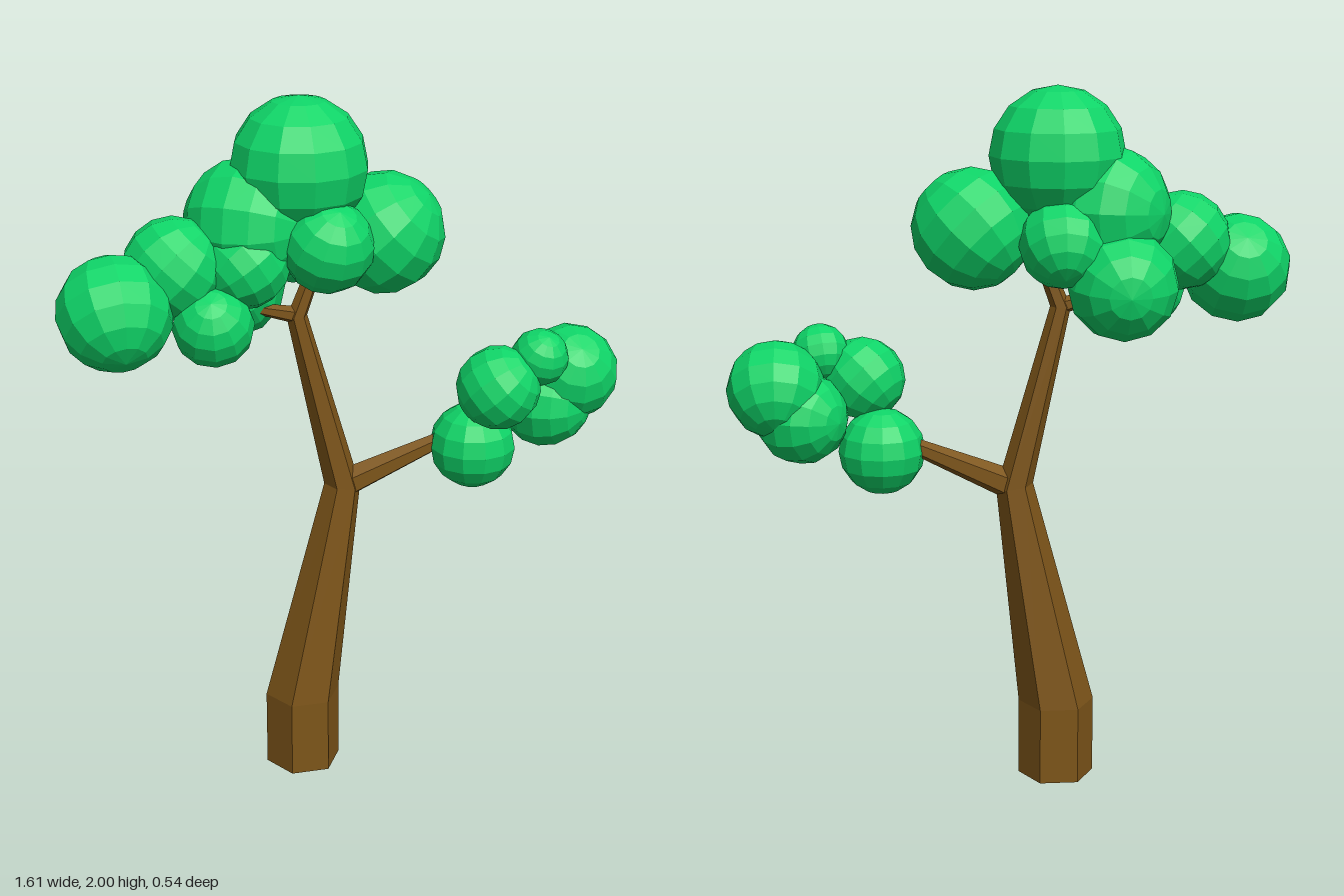
import * as THREE from 'three';

const bark = new THREE.MeshStandardMaterial({ color: 0x7d5519, flatShading: true });
const leaf = new THREE.MeshStandardMaterial({ color: 0x0fd568, flatShading: true });

// Six-sided limb through rings of [x, y, z, radius, lean in degrees]
function limb(name, rings) {
  const N = 6, pos = [], idx = [];
  for (const [x, y, z, r, lean] of rings) {
    const t = THREE.MathUtils.degToRad(lean);
    for (let j = 0; j < N; j++) {
      const a = (j / N) * Math.PI * 2, u = r * Math.cos(a);
      pos.push(x + u * Math.cos(t), y + u * Math.sin(t), z + r * Math.sin(a));
    }
  }
  for (let i = 0; i < rings.length - 1; i++) {
    for (let j = 0; j < N; j++) {
      const a = i * N + j, b = i * N + (j + 1) % N;
      idx.push(a, a + N, b, b, a + N, b + N);
    }
  }
  // end caps
  const top = (rings.length - 1) * N;
  for (let j = 1; j < N - 1; j++) {
    idx.push(0, j, j + 1, top, top + j + 1, top + j);
  }
  const g = new THREE.BufferGeometry();
  g.setAttribute('position', new THREE.Float32BufferAttribute(pos, 3));
  g.setIndex(idx);
  const flat = g.toNonIndexed();
  flat.computeVertexNormals();
  const mesh = new THREE.Mesh(flat, bark);
  mesh.name = name;
  return mesh;
}

// Cluster of faceted leaf balls [x, y, z, radius], each turned differently
function foliage(name, balls) {
  const group = new THREE.Group();
  group.name = name;
  balls.forEach(([x, y, z, r], i) => {
    const mesh = new THREE.Mesh(new THREE.SphereGeometry(r * 1.01, 12, 8), leaf);
    mesh.name = 'leafBall' + (i + 1);
    mesh.position.set(x, y, z);
    mesh.rotation.set(i * 1.3, i * 0.7, i * 2.1);
    group.add(mesh);
  });
  return group;
}

export function createModel() {
  const tree = new THREE.Group();
  tree.name = 'tree';

  // Trunk and branches
  tree.add(
    limb('trunk', [
      [-0.128, 0, 0, 0.109, 0],
      [-0.128, 0.225, 0, 0.109, 0],
      [-0.007, 0.875, 0, 0.053, -8],
      [-0.135, 1.39, 0, 0.029, 2],
      [-0.07, 1.56, 0, 0.02, -20],
    ]),
    limb('sideBranch', [
      [-0.005, 0.875, 0, 0.045, -65],
      [0.26, 0.985, 0.02, 0.025, -66],
      [0.36, 1.03, 0.03, 0.02, -66],
    ]),
    limb('twig', [
      [-0.125, 1.39, 0, 0.026, 75],
      [-0.25, 1.42, 0, 0.015, 75],
    ]),
  );

  // Upper crown
  tree.add(foliage('crown', [
    [-0.125, 1.81, 0, 0.188],
    [0.11, 1.61, 0, 0.168],
    [-0.075, 1.615, 0.115, 0.125],
    [-0.13, 1.58, -0.105, 0.122],
    [-0.26, 1.66, -0.01, 0.178],
    [-0.29, 1.57, 0.065, 0.122],
    [-0.295, 1.465, -0.115, 0.153],
    [-0.39, 1.42, 0.12, 0.11],
    [-0.48, 1.565, 0.045, 0.138],
    [-0.65, 1.475, 0.113, 0.155],
  ]));

  // Lower cluster at the end of the side branch
  tree.add(foliage('sideFoliage', [
    [0.367, 0.975, 0.04, 0.122],
    [0.415, 1.17, 0.113, 0.118],
    [0.535, 1.248, 0.11, 0.081],
    [0.66, 1.163, 0.02, 0.138],
    [0.59, 1.08, 0.02, 0.13],
  ]));
  return tree;
}
